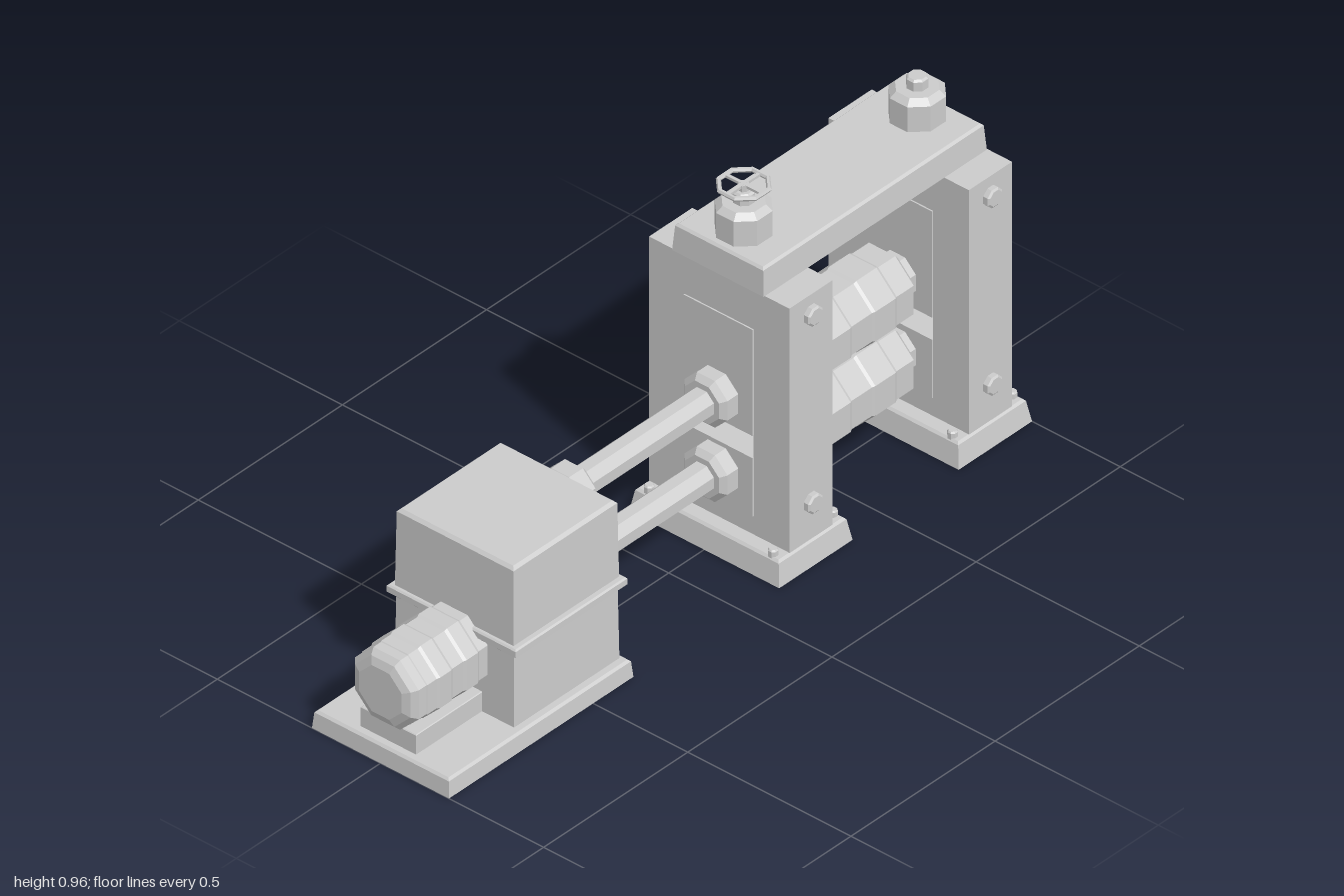
import * as THREE from 'three';

const steel = new THREE.MeshStandardMaterial({ color: 0xcccccc, flatShading: true });
const OCT = 1 / Math.cos(Math.PI / 8); // flat-to-flat half width -> corner radius

function add(parent, name, geometry, x = 0, y = 0, z = 0) {
  const mesh = new THREE.Mesh(geometry, steel);
  mesh.name = name;
  mesh.position.set(x, y, z);
  parent.add(mesh);
  return mesh;
}

// Block lofted through rectangles [halfX, halfZ, y], bottom to top
function loftBlock(rings) {
  const pos = [];
  const corners = rings.map(([x, z, y]) => [[-x, y, z], [x, y, z], [x, y, -z], [-x, y, -z]]);
  const quad = (a, b, c, d) => pos.push(...a, ...b, ...c, ...a, ...c, ...d);
  for (let i = 0; i < corners.length - 1; i++) {
    for (let k = 0; k < 4; k++) {
      const n = (k + 1) % 4;
      quad(corners[i][k], corners[i][n], corners[i + 1][n], corners[i + 1][k]);
    }
  }
  const b = corners[0], t = corners[corners.length - 1];
  quad(b[3], b[2], b[1], b[0]);
  quad(t[0], t[1], t[2], t[3]);
  const geometry = new THREE.BufferGeometry();
  geometry.setAttribute('position', new THREE.Float32BufferAttribute(pos, 3));
  geometry.computeVertexNormals();
  return geometry;
}

// Slightly tapered block with a chamfered top edge
function block(w, h, d, taper = 0, bevel = 0.006) {
  const x = w / 2, z = d / 2;
  return loftBlock([[x, z, 0], [x - taper, z - taper, h - bevel],
    [x - taper - bevel, z - taper - bevel, h]]);
}

// Closed octagonal turning from [halfWidth, height] pairs, flats facing the axes
function octagon(profile) {
  const p = [[0, profile[0][1]], ...profile, [0, profile[profile.length - 1][1]]];
  return new THREE.LatheGeometry(p.map(([r, y]) => new THREE.Vector2(r * OCT, y)), 8, Math.PI / 8);
}
const octagonZ = (profile) => octagon(profile).rotateX(Math.PI / 2);

// Octagonal bar between two z positions, with chamfered ends
const barZ = (r, z0, z1, c = 0.008) =>
  octagonZ([[r - c, z0], [r, z0 + c], [r, z1 - c], [r - c, z1]]);

function makeStand(z) {
  const stand = new THREE.Group();
  stand.name = 'millStand';
  stand.position.z = z;
  add(stand, 'standFoot', block(0.46, 0.065, 0.255, 0.01));

  // Upright frame with the chock window
  const shape = new THREE.Shape([[-0.215, 0.05], [0.215, 0.05], [0.215, 0.755], [-0.215, 0.755]]
    .map(([x, y]) => new THREE.Vector2(x, y)));
  shape.holes.push(new THREE.Path([[-0.105, 0.12], [-0.105, 0.645], [0.105, 0.645], [0.105, 0.12]]
    .map(([x, y]) => new THREE.Vector2(x, y))));
  const frame = new THREE.ExtrudeGeometry(shape, { depth: 0.15, bevelEnabled: false });
  add(stand, 'housingFrame', frame.translate(0, 0, -0.075));

  // Bearing chocks with a gap between them
  add(stand, 'lowerChock', new THREE.BoxGeometry(0.212, 0.165, 0.158), 0, 0.2, 0);
  add(stand, 'upperChock', new THREE.BoxGeometry(0.212, 0.3, 0.158), 0, 0.495, 0);

  for (const s of [-1, 1]) {
    for (const y of [0.17, 0.7]) {
      const bolt = octagon([[0.025, 0], [0.025, 0.023], [0.02, 0.027]]);
      add(stand, 'sideBolt', bolt, s * 0.205, y, 0).rotation.z = -s * Math.PI / 2;
    }
    for (const t of [-1, 1]) {
      add(stand, 'footBolt', octagon([[0.012, 0], [0.012, 0.022], [0.009, 0.026]]),
        s * 0.19, 0.056, t * 0.103);
    }
  }
  return stand;
}

function makeScrew(z, hasWheel) {
  const screw = new THREE.Group();
  screw.name = 'adjustingScrew';
  screw.position.set(0, 0.825, z);
  add(screw, 'screwNut', octagon([[0.065, 0], [0.065, 0.075], [0.05, 0.09]]));
  add(screw, 'screwStem', octagon([[0.025, 0.085], [0.025, 0.115], [0.02, 0.12]]));
  if (!hasWheel) return screw;
  add(screw, 'wheelShaft', octagon([[0.012, 0.115], [0.012, 0.137]]));
  const rim = new THREE.TorusGeometry(0.0615, 0.0065, 6, 8);
  add(screw, 'wheelRim', rim.rotateZ(Math.PI / 8).rotateX(Math.PI / 2), 0, 0.134, 0);
  for (let i = 0; i < 2; i++) {
    add(screw, 'wheelSpokes', new THREE.BoxGeometry(0.116, 0.007, 0.009), 0, 0.134, 0)
      .rotation.y = i * Math.PI / 2;
  }
  return screw;
}

// Octagonal body with alternating raised bands and chamfered ends
function bandedZ(r, z0, z1, bands, chamfer) {
  const profile = [[r - chamfer, z0], [r, z0 + chamfer]];
  const step = (z1 - z0) / bands;
  for (let i = 1; i < bands; i += 2) {
    const a = z0 + i * step, b = a + step;
    profile.push([r, a - 0.004], [r + 0.004, a + 0.004], [r + 0.004, b - 0.004], [r, b + 0.004]);
  }
  profile.push([r, z1 - chamfer], [r - chamfer, z1]);
  return octagonZ(profile);
}

export function createModel() {
  const model = new THREE.Group();
  model.name = 'rollingMill';

  // Stands, tie beam and adjusting screws
  for (const z of [-0.25, -0.8725]) model.add(makeStand(z));
  add(model, 'tieBeam', block(0.28, 0.075, 0.775, 0.005), 0, 0.755, -0.5575);
  model.add(makeScrew(-0.26, true), makeScrew(-0.862, false));

  // Rolls and drive spindles
  for (const y of [0.21, 0.42]) {
    const line = new THREE.Group();
    line.name = 'rollLine';
    line.position.y = y;
    model.add(line);
    add(line, 'roll', bandedZ(0.097, -0.755, -0.365, 5, 0.015));
    add(line, 'rollNeck', barZ(0.056, -0.82, -0.3));
    add(line, 'spindle', barZ(0.037, -0.2, 0.4));
    add(line, 'millCoupling', barZ(0.066, -0.18, -0.115, 0.014));
    add(line, 'gearboxCoupling', barZ(0.066, 0.315, 0.39, 0.014));
  }

  // Gearbox on the drive base
  const drive = new THREE.Group();
  drive.name = 'drive';
  model.add(drive);
  add(drive, 'driveBase', block(0.42, 0.05, 0.64, 0.004), 0, 0, 0.68);
  add(drive, 'gearboxLower', block(0.366, 0.22, 0.366, 0.003), 0, 0.045, 0.561);
  add(drive, 'gearboxFlange', loftBlock([[0.194, 0.19, 0], [0.198, 0.194, 0.004],
    [0.198, 0.194, 0.02], [0.194, 0.19, 0.024]]), 0, 0.256, 0.561);
  add(drive, 'gearboxUpper', block(0.364, 0.222, 0.366, 0.003, 0.008), 0, 0.274, 0.561);

  // Motor
  add(drive, 'motorPedestal', block(0.17, 0.06, 0.235, 0, 0.002), 0, 0.045, 0.855);
  add(drive, 'motorBody', bandedZ(0.1, 0.73, 0.96, 5, 0.01), 0, 0.2, 0);
  add(drive, 'motorCap', octagonZ([[0.098, 0.94], [0.098, 0.978], [0.085, 0.992], [0.065, 1]]), 0, 0.2, 0);
  return model;
}
